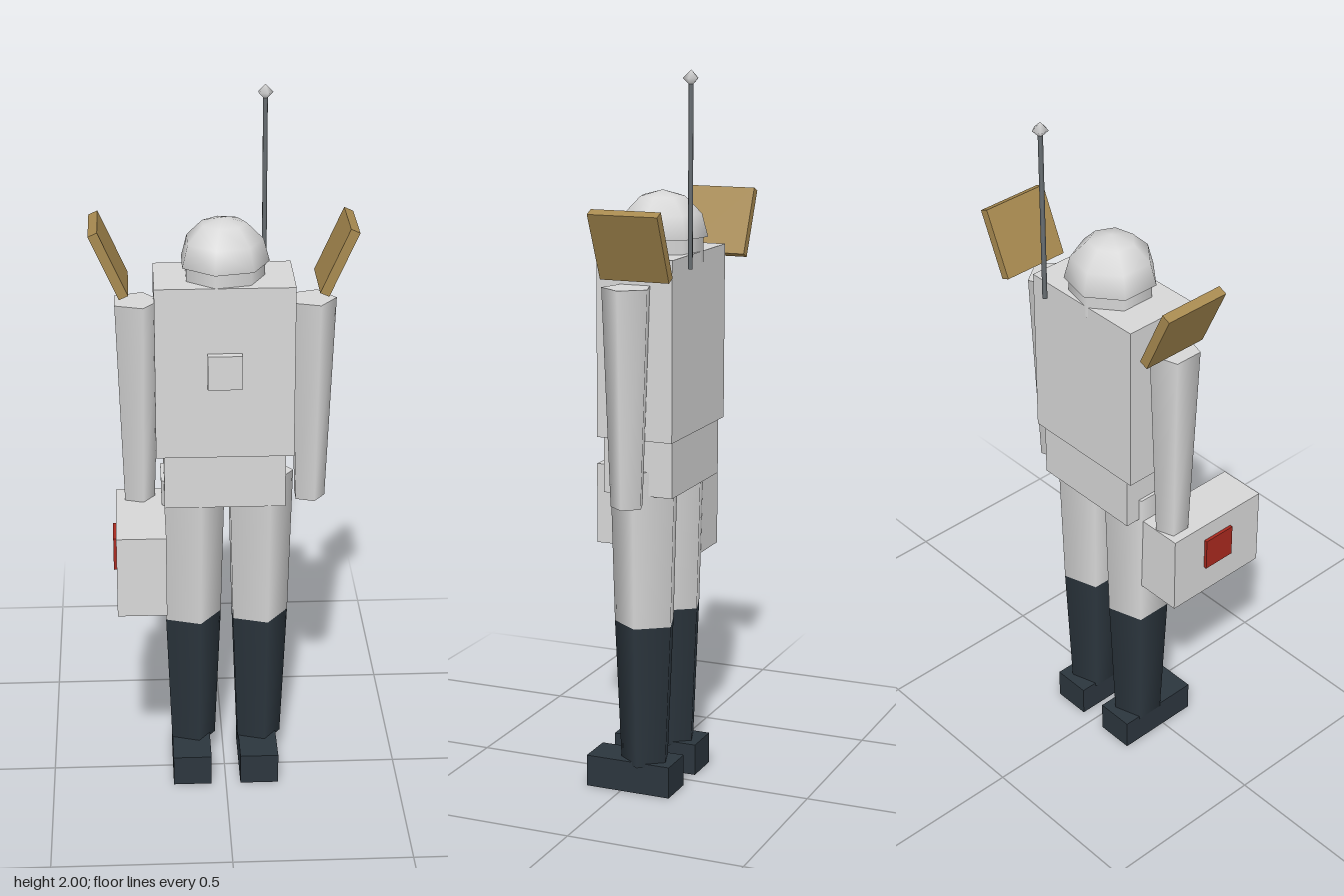
import * as THREE from 'three';

const mat = (name, color) => {
  const m = new THREE.MeshStandardMaterial({ color });
  m.name = name;
  return m;
};

export function createModel() {
  const suit = mat('suitGrey', 0xd8d8d8);
  const dark = mat('bootDark', 0x2c363e);
  const gold = mat('panelGold', 0xa88a50);
  const red = mat('patchRed', 0xa8291f);
  const steel = mat('antennaSteel', 0x6a7074);

  const model = new THREE.Group();
  model.name = 'astronaut';

  const add = (name, geo, material, x, y, z) => {
    const mesh = new THREE.Mesh(geo, material);
    mesh.name = name;
    mesh.position.set(x, y, z);
    model.add(mesh);
    return mesh;
  };
  // Box given by its lower and upper limits on each axis
  const box = (name, material, [x0, x1], [y0, y1], [z0, z1]) =>
    add(name, new THREE.BoxGeometry(x1 - x0, y1 - y0, z1 - z0), material,
      (x0 + x1) / 2, (y0 + y1) / 2, (z0 + z1) / 2);
  // Tapered limb with one corner pointing to +x
  const limb = (name, material, x, z, y0, y1, r0, r1, sides = 5) => {
    const geo = new THREE.CylinderGeometry(r1, r0, y1 - y0, sides).rotateY(Math.PI / 2);
    return add(name, geo, material, x, (y0 + y1) / 2, z);
  };

  // Body
  box('torso', suit, [-0.19, 0.19], [1.02, 1.51], [-0.168, 0.05]);
  box('pelvis', suit, [-0.168, 0.168], [0.863, 1.02], [-0.16, 0.04]);
  box('chestPack', suit, [-0.048, 0.046], [1.228, 1.325], [0.04, 0.073]);

  // Head and helmet dome
  limb('head', suit, 0, -0.06, 1.48, 1.552, 0.113, 0.113, 7);
  const dome = new THREE.SphereGeometry(0.125, 7, 3, 0, Math.PI * 2, 0, Math.PI / 2).rotateY(Math.PI);
  add('helmet', dome, suit, 0, 1.549, -0.06);
  add('helmetRim', new THREE.CircleGeometry(0.125, 7).rotateX(Math.PI / 2), suit, 0, 1.549, -0.06);

  // Limbs and shoulder panels on both sides
  for (const [side, s] of [['left', 1], ['right', -1]]) {
    limb(side + 'Arm', suit, s * 0.24, -0.062, 0.848, 1.44, 0.046, 0.069);
    limb(side + 'Leg', suit, s * 0.096, -0.055, 0.488, 0.93, 0.088, 0.1);
    limb(side + 'Boot', dark, s * 0.096, -0.055, 0.08, 0.488, 0.07, 0.088);
    box(side + 'Foot', dark, [s * 0.097 - 0.055, s * 0.097 + 0.055], [0, 0.09], [-0.146, 0.104]);
    const panel = add(side + 'ShoulderPanel', new THREE.BoxGeometry(0.027, 0.195, 0.195), gold,
      s * 0.31, 1.558, -0.1);
    panel.rotation.z = -s * 0.42;
  }

  // Carried case with a coloured patch
  box('case', suit, [-0.303, -0.167], [0.62, 0.855], [-0.107, 0.214]);
  box('casePatch', red, [-0.312, -0.303], [0.707, 0.803], [0.005, 0.103]);

  // Antenna on the back
  limb('antenna', steel, 0.118, -0.19, 1.48, 1.975, 0.007, 0.007);
  add('antennaTip', new THREE.SphereGeometry(0.022, 5, 2).rotateY(Math.PI), suit, 0.118, 1.978, -0.19);

  return model;
}
